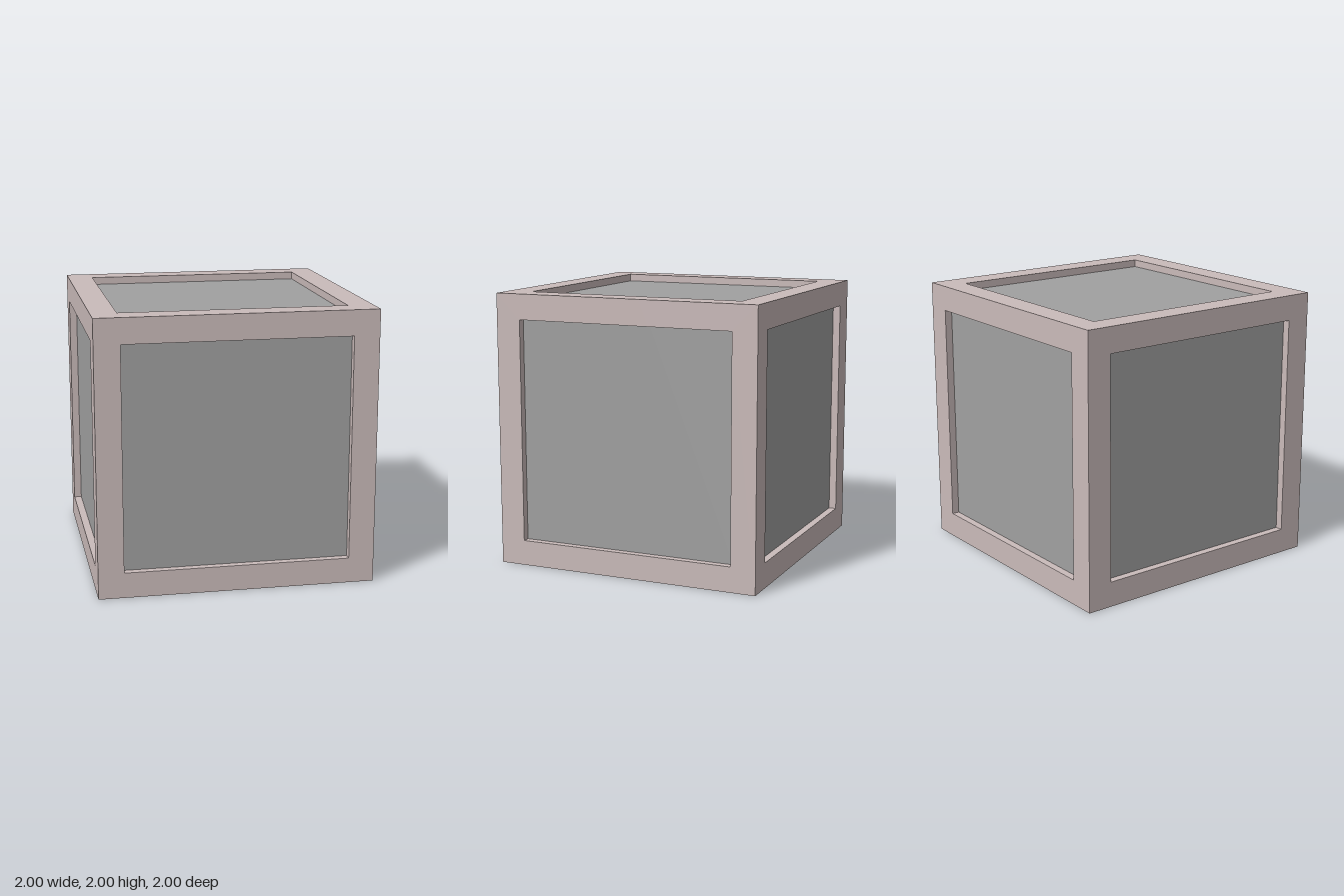
import * as THREE from 'three';

const RIM = 0.815;    // half width of the recessed panels
const FLOOR = 0.945;  // distance of a panel from the cube centre

// Each fragment is the region where its linear function n.p - c is the largest.
const FRAGMENTS = [
  ['coreFragment', 0, 0, 0, 0],
  ['frontRightFragment', 1.968, -0.638, 1.191, 0.092],
  ['backRightFragment', 1.52, 0.342, -1.347, 1.912],
  ['upperBackLeftFragment', -0.408, 0.737, -0.614, 1.661],
  ['lowerFrontLeftFragment', -1.2, -1.19, 1.42, 1.66],
  ['lowerBackLeftFragment', -0.354, -0.351, -0.369, 0.262],
];

const frameMaterial = new THREE.MeshStandardMaterial({ color: 0xcabbba });
const panelMaterial = new THREE.MeshStandardMaterial({ color: 0xa1a1a1 });

// Keeps the part of a convex polygon behind a plane.
function clip(poly, plane) {
  const out = [];
  poly.forEach((a, i) => {
    const b = poly[(i + 1) % poly.length];
    const da = plane.distanceToPoint(a), db = plane.distanceToPoint(b);
    if (da <= 0) out.push(a);
    if ((da < 0 && db > 0) || (da > 0 && db < 0)) out.push(a.clone().lerp(b, da / (da - db)));
  });
  return out;
}
const clipAll = (poly, planes) => planes.reduce(clip, poly);

// Flat-shaded mesh from convex polygons, each drawn as a fan.
function polygonMesh(name, polys, material) {
  const points = [];
  for (const p of polys) {
    for (let i = 1; i < p.length - 1; i++) points.push(p[0], p[i], p[i + 1]);
  }
  const geometry = new THREE.BufferGeometry().setFromPoints(points);
  geometry.computeVertexNormals();
  const mesh = new THREE.Mesh(geometry, material);
  mesh.name = name;
  return mesh;
}

// Outer surface: six faces, each with a raised rim, recess walls and a panel.
function cubeSurface() {
  const rim = [], panels = [];
  const corners = [[-1, -1], [1, -1], [1, 1], [-1, 1]];
  for (let axis = 0; axis < 3; axis++) {
    for (const s of [-1, 1]) {
      const ring = (half, depth) => corners.map(([u, v]) => {
        const p = new THREE.Vector3();
        p.setComponent(axis, s * depth);
        p.setComponent((axis + 1) % 3, u * half);
        p.setComponent((axis + 2) % 3, s * v * half);
        p.y += 1;
        return p;
      });
      const outer = ring(1, 1), inner = ring(RIM, 1), floor = ring(RIM, FLOOR);
      for (let k = 0; k < 4; k++) {
        const n = (k + 1) % 4;
        rim.push([outer[k], outer[n], inner[n], inner[k]]);
        rim.push([inner[k], inner[n], floor[n], floor[k]]);
      }
      panels.push(floor);
    }
  }
  return { rim, panels };
}

// The solid volume as boxes (core and twelve edge bars), each given by six planes.
function solidBoxes() {
  const box = (c, h) => [0, 1, 2].flatMap((axis) => [-1, 1].map((s) => {
    const n = new THREE.Vector3().setComponent(axis, s);
    return new THREE.Plane(n, -(s * c.getComponent(axis) + h.getComponent(axis)));
  }));
  const boxes = [box(new THREE.Vector3(0, 1, 0), new THREE.Vector3(FLOOR, FLOOR, FLOOR))];
  const mid = (1 + RIM) / 2, half = (1 - RIM) / 2;
  for (let axis = 0; axis < 3; axis++) {
    for (const [a, b] of [[-1, -1], [1, -1], [1, 1], [-1, 1]]) {
      const c = new THREE.Vector3(), h = new THREE.Vector3(half, half, half);
      c.setComponent((axis + 1) % 3, a * mid);
      c.setComponent((axis + 2) % 3, b * mid);
      c.y += 1;
      h.setComponent(axis, axis === 0 ? 1 : RIM);
      boxes.push(box(c, h));
    }
  }
  return boxes;
}

// Large square lying on a plane and facing along its normal.
function squareOn(plane) {
  const n = plane.normal;
  const u = new THREE.Vector3(0.3, 0.5, 0.8).cross(n).normalize();
  const v = n.clone().cross(u);
  const centre = plane.coplanarPoint(new THREE.Vector3());
  return [[-5, -5], [5, -5], [5, 5], [-5, 5]].map(([a, b]) =>
    centre.clone().addScaledVector(u, a).addScaledVector(v, b));
}

export function createModel() {
  const model = new THREE.Group();
  model.name = 'crackedPanelCube';
  const { rim, panels } = cubeSurface();
  const boxes = solidBoxes();

  FRAGMENTS.forEach((self, i) => {
    // Planes separating this fragment from the others
    const planes = FRAGMENTS.filter((_, j) => j !== i).map((other) => {
      const d = [1, 2, 3, 4].map((k) => other[k] - self[k]);
      return new THREE.Plane(new THREE.Vector3(d[0], d[1], d[2]), -d[3]).normalize();
    });
    const keep = (polys) => polys.map((p) => clipAll(p, planes)).filter((p) => p.length > 2);

    // Hidden break faces inside the solid
    const breaks = planes.flatMap((plane) => {
      const face = clipAll(squareOn(plane), planes.filter((p) => p !== plane));
      return boxes.map((b) => clipAll(face, b)).filter((p) => p.length > 2);
    });

    const fragment = new THREE.Group();
    fragment.name = self[0];
    fragment.add(
      polygonMesh('rim', keep(rim), frameMaterial),
      polygonMesh('panels', keep(panels), panelMaterial),
      polygonMesh('breakFaces', breaks, panelMaterial),
    );
    model.add(fragment);
  });
  return model;
}
